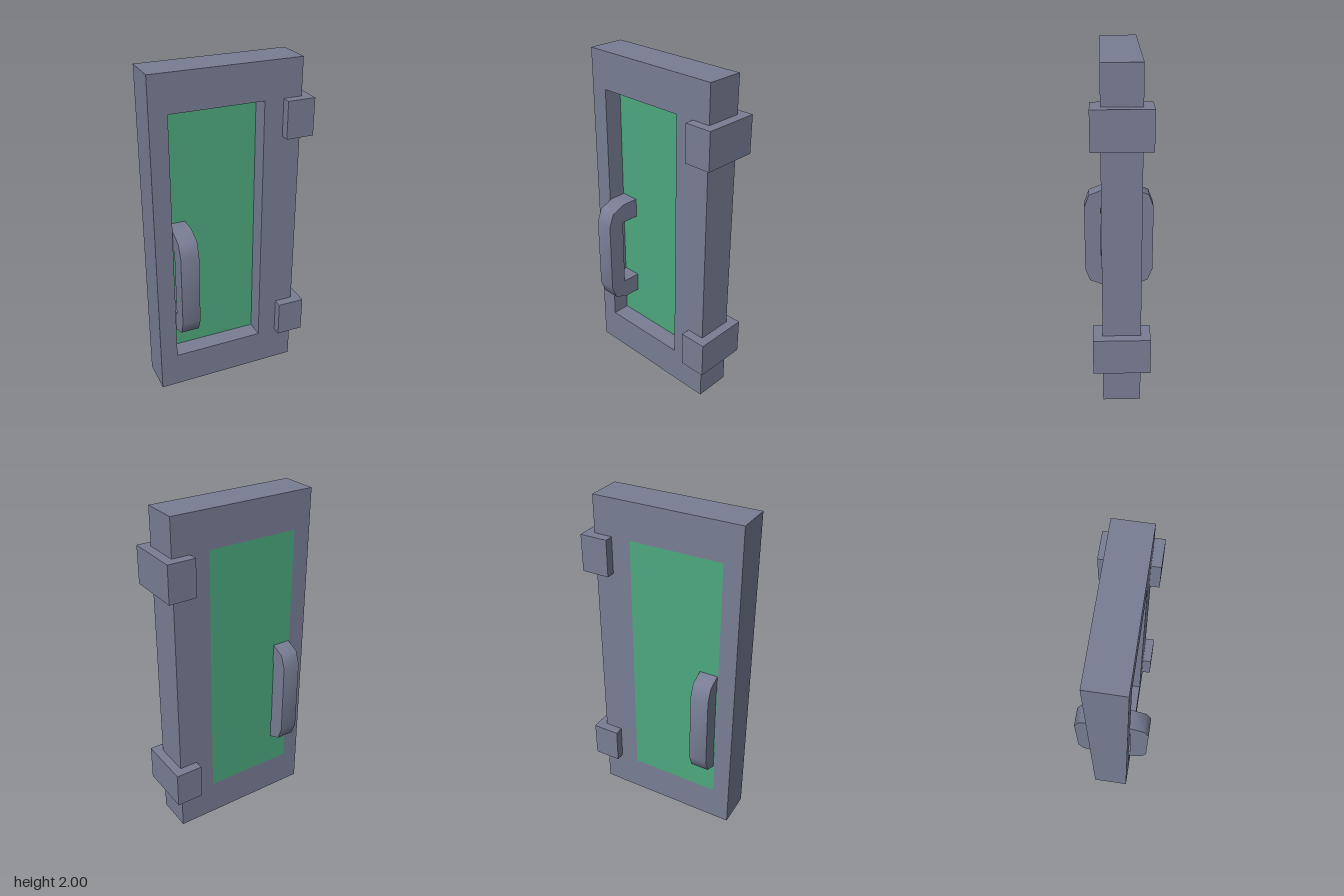
import * as THREE from 'three';
import { toCreasedNormals } from 'three/addons/utils/BufferGeometryUtils.js';

const metal = new THREE.MeshStandardMaterial({ color: 0x787d94 });
metal.name = 'slate metal';
const green = new THREE.MeshStandardMaterial({ color: 0x4ca87d });
green.name = 'green glass';

function add(group, name, geometry, material, x = 0, y = 0, z = 0) {
  const mesh = new THREE.Mesh(geometry, material);
  mesh.name = name;
  mesh.position.set(x, y, z);
  group.add(mesh);
  return mesh;
}

const rectPoints = (x0, y0, x1, y1) => [[x0, y0], [x1, y0], [x1, y1], [x0, y1]].map(([x, y]) => new THREE.Vector2(x, y));

// C-shaped pull with faceted, softly shaded corners; drawn in depth/height
function handleGeometry() {
  const points = [
    [0, 0.415], [0.105, 0.415], [0.19, 0.45], [0.22, 0.53],
    [0.22, 0.97], [0.19, 1.05], [0.105, 1.085], [0, 1.085],
    [0, 0.965], [0.115, 0.965], [0.115, 0.535], [0, 0.535],
  ].map(([z, y]) => new THREE.Vector2(z, y));
  const geometry = new THREE.ExtrudeGeometry(new THREE.Shape(points), { depth: 0.11, bevelEnabled: false });
  geometry.translate(0, 0, -0.055);
  return toCreasedNormals(geometry, 0.9);
}

export function createModel() {
  const model = new THREE.Group();
  model.name = 'door';

  // Frame with a window opening
  const frame = new THREE.Shape(rectPoints(-0.47, 0, 0.415, 2));
  frame.holes.push(new THREE.Path(rectPoints(-0.365, 0.22, 0.19, 1.78)));
  add(model, 'doorFrame', new THREE.ExtrudeGeometry(frame, { depth: 0.22, bevelEnabled: false }), metal, 0, 0, -0.11);

  // Pane: recessed at the front, flush at the back
  add(model, 'windowPane', new THREE.BoxGeometry(0.555, 1.56, 0.11), green, -0.0875, 1, -0.055);

  // Hinges clasping the edge
  for (const [name, y] of [['lowerHinge', 0.335], ['upperHinge', 1.67]]) {
    add(model, name, new THREE.BoxGeometry(0.165, 0.22, 0.33), metal, 0.3875, y, 0);
  }

  // Handles on both sides
  for (const [name, side] of [['frontHandle', 1], ['backHandle', -1]]) {
    add(model, name, handleGeometry(), metal, -0.305).rotation.y = -side * Math.PI / 2;
  }
  return model;
}
